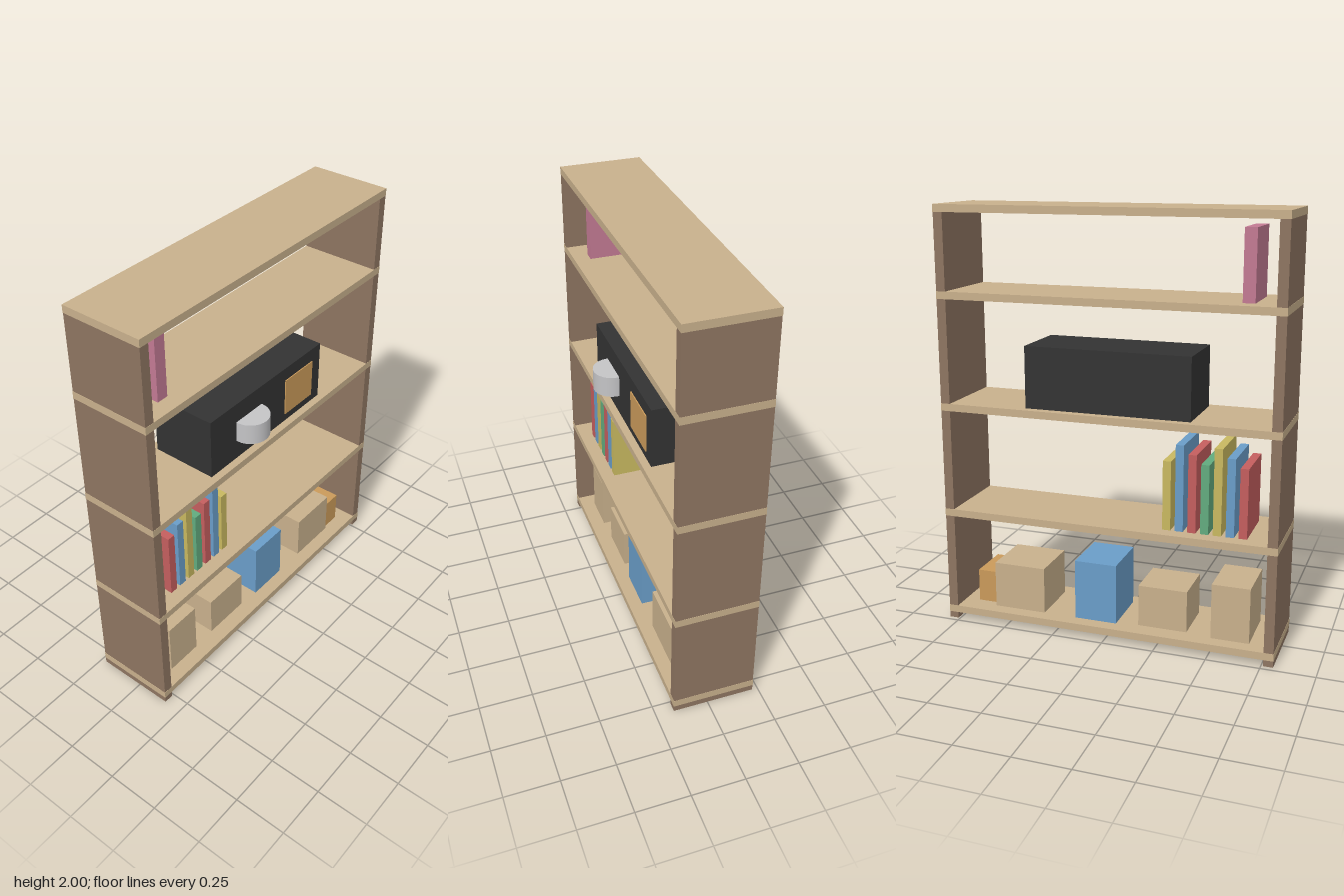
import * as THREE from 'three';

const mat = (name, color) => {
  const m = new THREE.MeshStandardMaterial({ color });
  m.name = name;
  return m;
};

export function createModel() {
  const tan = mat('light wood', 0xc8b08c);
  const brown = mat('dark wood', 0x8e7561);
  const black = mat('charcoal', 0x333333);
  const grey = mat('metal grey', 0xc4c4c6);
  const orange = mat('amber', 0xca9a5a);
  const blue = mat('blue', 0x6a9dc8);
  const red = mat('red', 0xc45e5e);
  const yellow = mat('yellow', 0xc8b860);
  const green = mat('green', 0x62ab7e);
  const pink = mat('pink', 0xc27a93);

  const model = new THREE.Group();
  model.name = 'bookcase';

  // Box given by its extents along each axis
  const block = (name, material, [x0, x1], [y0, y1], [z0, z1], parent = model) => {
    const mesh = new THREE.Mesh(new THREE.BoxGeometry(x1 - x0, y1 - y0, z1 - z0), material);
    mesh.position.set((x0 + x1) / 2, (y0 + y1) / 2, (z0 + z1) / 2);
    mesh.name = name;
    parent.add(mesh);
    return mesh;
  };
  const group = (name) => {
    const g = new THREE.Group();
    g.name = name;
    model.add(g);
    return g;
  };

  // Uprights and shelves; shelf ends show through the uprights
  block('leftUpright', brown, [0.76, 0.805], [0, 1.965], [-0.224, 0.164]);
  block('rightUpright', brown, [-0.805, -0.76], [0, 1.965], [-0.224, 0.164]);
  const shelves = group('shelves');
  [0.03, 0.53, 1.05, 1.575, 1.965].forEach((y, i) =>
    block(`shelf${i + 1}`, tan, [-0.806, 0.806], [y, y + 0.035], [-0.225, 0.165], shelves));

  // Storage boxes on the bottom shelf: x range, top, z range
  const boxes = group('storageBoxes');
  [
    [tan, [-0.68, -0.5], 0.33, [-0.16, 0.095]],
    [tan, [-0.38, -0.145], 0.265, [-0.14, 0.09]],
    [blue, [-0.04, 0.165], 0.355, [-0.16, 0.1]],
    [tan, [0.325, 0.582], 0.29, [-0.16, 0.1]],
    [orange, [0.582, 0.69], 0.225, [-0.125, 0.09]],
  ].forEach(([m, x, top, z], i) => block(`storageBox${i + 1}`, m, x, [0.065, top], z, boxes));

  // Row of books with repeating heights
  const books = group('books');
  [red, blue, yellow, green, red, blue, yellow].forEach((m, i) => {
    const x = -0.655 + i * 0.059;
    block(`book${i + 1}`, m, [x, x + 0.038], [0.565, 0.89 + (i % 3) * 0.04], [-0.16, 0.1], books);
  });
  block('tallBook', pink, [-0.655, -0.6], [1.61, 1.925], [-0.145, 0.09]);

  // Dark cabinet with a round dial and an amber panel
  const cabinet = group('cabinet');
  block('cabinetBody', black, [-0.395, 0.39], [1.085, 1.375], [-0.185, 0.13], cabinet);
  block('cabinetPanel', orange, [0.125, 0.328], [1.125, 1.31], [0.128, 0.135], cabinet);
  const dial = new THREE.Mesh(new THREE.CylinderGeometry(0.088, 0.088, 0.1, 32), grey);
  dial.position.set(-0.136, 1.23, 0.137);
  dial.name = 'cabinetDial';
  cabinet.add(dial);

  return model;
}
